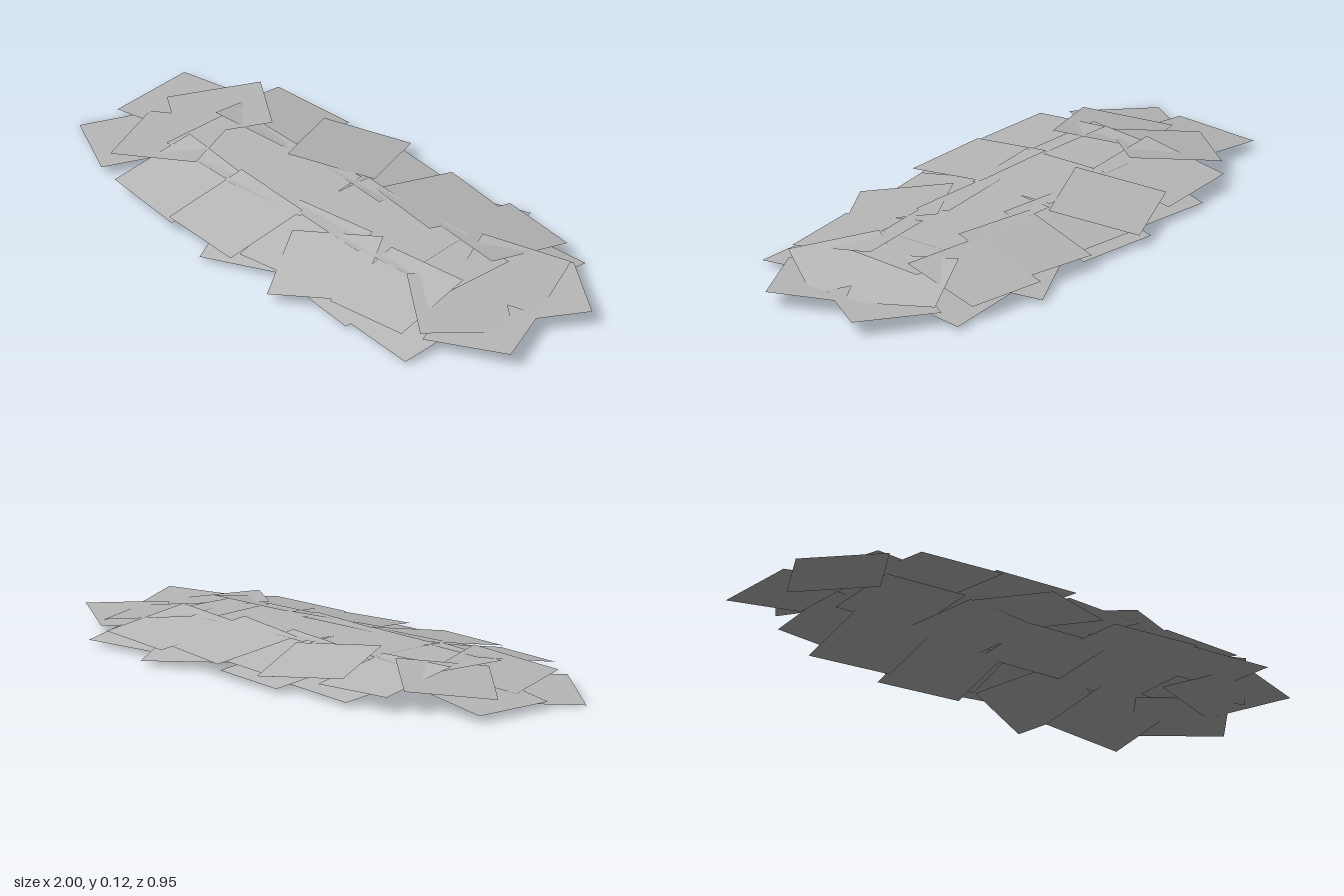
import * as THREE from 'three';

const SIDE = 0.305;

// Each sheet: [centre x, centre z, turn in degrees, centre y, slope along x, slope along z]
const layers = {
  lowerBackSheet: [
    [-0.36, -0.25, 7, 0.042, 0, 0.15], [-0.06, -0.275, 7, 0.042, 0, 0.15],
    [0.335, -0.275, -25, 0.046, 0, 0.155], [0.6, -0.23, -4, 0.042, 0, 0.16],
  ],
  lowerFrontSheet: [
    [-0.08, 0.26, -20, 0.045, 0, -0.16], [0.32, 0.24, 8, 0.042, 0, -0.16],
    [0.595, 0.255, 6, 0.04, 0, -0.16],
  ],
  lowerEndSheet: [
    [-0.8, -0.11, 0, 0.047, 0.15, 0], [-0.79, 0.12, 32, 0.028, 0.133, 0],
    [0.79, -0.12, 34, 0.053, 0.03, 0], [0.79, 0.125, -24, 0.05, 0.045, 0],
  ],
  lowerCentreSheet: [
    [-0.45, 0.01, 5, 0.064, 0, 0], [-0.15, 0, -6, 0.06, 0, 0],
    [0.15, 0, 4, 0.06, 0, 0], [0.45, 0, -3, 0.064, 0, 0],
  ],
  upperCentreSheet: [
    [-0.47, 0, 4, 0.095, 0.02, 0], [-0.18, 0.01, -4, 0.1, 0, 0],
    [0.12, 0, 5, 0.1, 0, 0], [0.3, 0, -3, 0.099, 0, 0], [0.48, 0, 3, 0.095, -0.02, 0],
  ],
  upperBackSheet: [
    [-0.485, -0.24, -3, 0.078, 0, 0.17], [-0.02, -0.25, 7, 0.076, 0, 0.18],
    [-0.2, -0.26, -22, 0.082, 0, 0.17], [0.22, -0.255, 10, 0.08, 0, 0.18],
    [0.49, -0.26, 8, 0.08, 0, 0.17],
  ],
  upperFrontSheet: [
    [-0.47, 0.24, 8, 0.076, 0, -0.18], [0.085, 0.225, -5, 0.078, 0, -0.18],
    [-0.195, 0.265, 5, 0.08, 0, -0.18], [0.215, 0.27, -29, 0.074, 0, -0.2],
    [0.49, 0.22, -4, 0.082, 0, -0.18],
  ],
  upperEndSheet: [
    [-0.66, -0.13, 38, 0.078, 0.18, 0], [-0.66, 0.085, -20, 0.076, 0.18, 0],
    [0.68, -0.11, -24, 0.078, -0.13, 0], [0.68, 0.12, 37, 0.076, -0.13, 0],
  ],
};

// A flat square sheet, turned in plan and then sheared up to its slope
function sheet([cx, cz, turn, cy, slopeX, slopeZ], material) {
  const geometry = new THREE.PlaneGeometry(SIDE, SIDE);
  geometry.rotateX(-Math.PI / 2);
  geometry.rotateY(-THREE.MathUtils.degToRad(turn));
  const p = geometry.attributes.position;
  for (let i = 0; i < p.count; i++) {
    p.setY(i, p.getX(i) * slopeX + p.getZ(i) * slopeZ);
  }
  geometry.computeVertexNormals();
  const mesh = new THREE.Mesh(geometry, material);
  mesh.position.set(cx, cy, cz);
  return mesh;
}

export function createModel() {
  const model = new THREE.Group();
  model.name = 'sheetPile';
  const grey = new THREE.MeshStandardMaterial({ color: 0xb8b8b8, side: THREE.DoubleSide });
  grey.name = 'grey';

  // Overlapping sheets, laid from the lower skirt up to the top
  for (const [name, sheets] of Object.entries(layers)) {
    sheets.forEach((data, i) => {
      const mesh = sheet(data, grey);
      mesh.name = `${name}${i + 1}`;
      model.add(mesh);
    });
  }
  return model;
}
